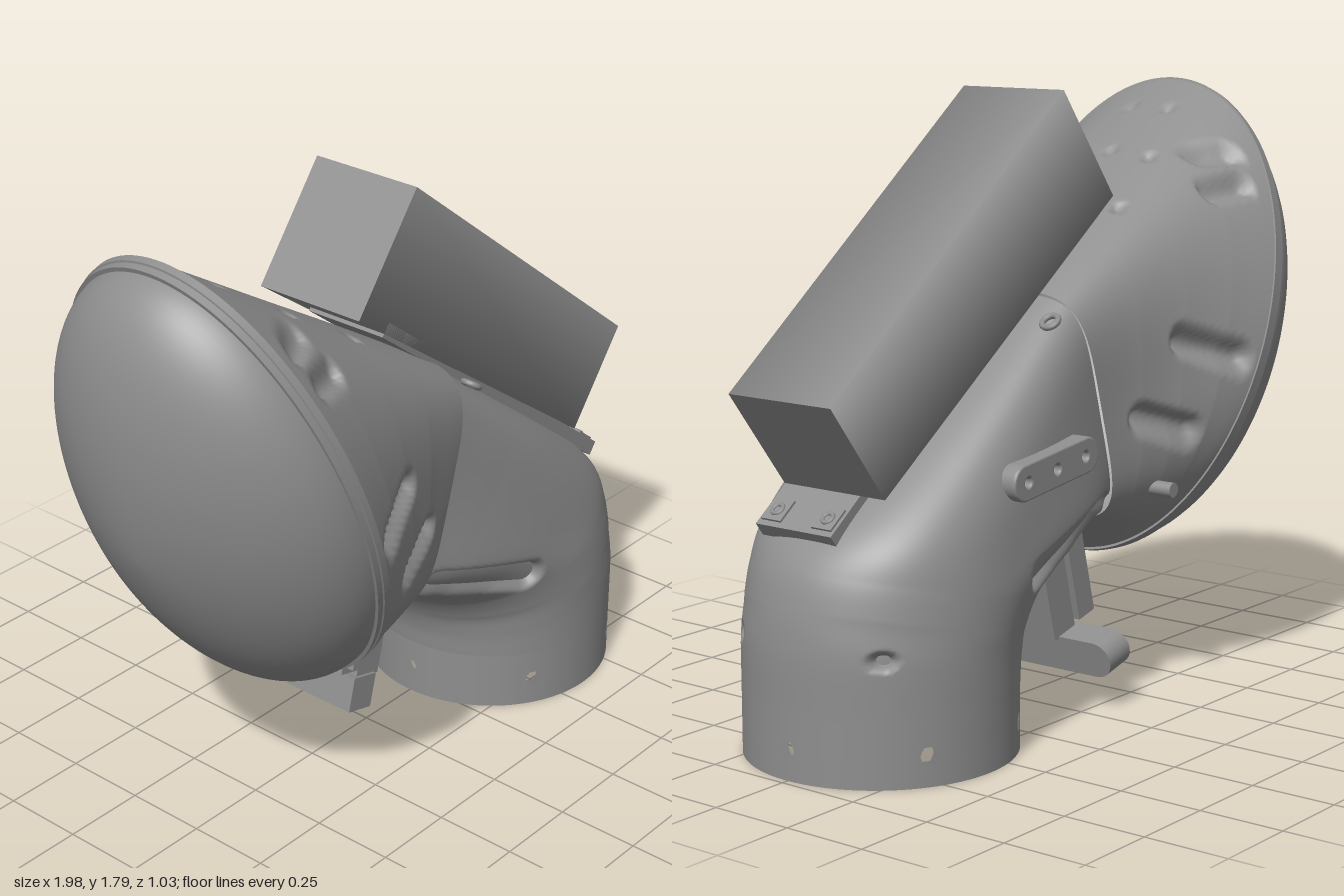
import * as THREE from 'three';
import { toCreasedNormals } from 'three/addons/utils/BufferGeometryUtils.js';

const N = 192; // columns around every lofted section
const material = new THREE.MeshStandardMaterial({ color: 0x8e8e8e, side: THREE.DoubleSide });
const V = (x, y, z = 0) => new THREE.Vector3(x, y, z);

// Closed superellipse from top point T to bottom point B, half width w, exponent n
function section(T, B, w, n) {
  const row = [];
  for (let j = 0; j < N; j++) {
    const a = (j / N) * Math.PI * 2, c = Math.cos(a), s = Math.sin(a);
    const r = Math.pow(Math.abs(c) ** n + Math.abs(s) ** n, -1 / n);
    const p = T.clone().add(B).multiplyScalar(0.5);
    p.addScaledVector(T.clone().sub(B), (c * r) / 2);
    p.z = w * s * r;
    row.push(p);
  }
  return row;
}

// Smoothly interpolated sections through keys [Tx, Ty, Bx, By, halfWidth, exponent]
function sweep(keys, count) {
  const top = new THREE.CatmullRomCurve3(keys.map(k => V(k[0], k[1])));
  const bottom = new THREE.CatmullRomCurve3(keys.map(k => V(k[2], k[3])));
  const size = new THREE.CatmullRomCurve3(keys.map(k => V(k[4], k[5])));
  return Array.from({ length: count + 1 }, (_, i) => {
    const t = i / count, s = size.getPoint(t);
    return section(top.getPoint(t), bottom.getPoint(t), s.x, s.y);
  });
}

function loft(rows, skip = () => false) {
  const index = [];
  for (let i = 0; i < rows.length - 1; i++)
    for (let j = 0; j < N; j++) {
      if (skip(i, j)) continue;
      const a = i * N + j, b = i * N + ((j + 1) % N);
      index.push(a, a + N, b, b, a + N, b + N);
    }
  const g = new THREE.BufferGeometry().setFromPoints(rows.flat());
  g.setIndex(index);
  g.computeVertexNormals();
  return g;
}

// Capsule-shaped pockets [x1, v1, x2, v2, radius, depth], pushed towards the section's centre;
// v is y on the sides, z on the top
function dent(rows, pockets, top = false) {
  const smooth = THREE.MathUtils.smoothstep;
  for (const row of rows) {
    const centre = row[0].clone().add(row[N / 2]).multiplyScalar(0.5);
    for (const p of row) {
      const mask = top ? Number(p.y > centre.y) : smooth(Math.abs(p.z), 0.18, 0.27);
      let push = 0;
      for (const [x1, v1, x2, v2, r, depth] of pockets) {
        const v = top ? Math.abs(p.z) : p.y, dx = x2 - x1, dv = v2 - v1;
        const t = THREE.MathUtils.clamp(((p.x - x1) * dx + (v - v1) * dv) / (dx * dx + dv * dv), 0, 1);
        const d = Math.hypot(p.x - x1 - t * dx, v - v1 - t * dv);
        push = Math.max(push, mask * depth * (1 - smooth(d, r * 0.3, r * 1.35)));
      }
      p.addScaledVector(centre.clone().sub(p).normalize(), push);
    }
  }
  return rows;
}

export function createModel() {
  const model = new THREE.Group();
  const add = (name, geometry, parent = model) => {
    const m = new THREE.Mesh(geometry, material);
    m.name = name;
    parent.add(m);
    return m;
  };
  const box = (name, w, h, d, x, y, z, parent) => {
    const m = add(name, new THREE.BoxGeometry(w, h, d), parent);
    m.position.set(x, y, z);
    return m;
  };

  // Base ring with six through holes
  const cx = 0.595, R = 0.385, inR = 0.355;
  const levels = [0, 0.062, 0.086, 0.11, 0.18];
  const ring = r => levels.map((y, i) => section(V(cx + r, y), V(cx - r, y), r, 2).map((p, j) => {
    const k = (j + 2) % 32; // columns 0 and 4 hold the hole's corners
    if ((i === 1 || i === 3) && (k === 0 || k === 4)) {
      const a = ((j + (k ? -0.4 : 0.4)) / N) * Math.PI * 2;
      p.set(cx + r * Math.cos(a), y + (i === 1 ? 0.01 : -0.01), r * Math.sin(a));
    }
    return p;
  }));
  const hole = (i, j) => (i === 1 || i === 2) && (j + 2) % 32 < 4;
  add('baseRing', loft(ring(R), hole));
  add('baseRingInside', loft(ring(inR), hole));
  const lip = add('baseLip', new THREE.RingGeometry(inR, R, 96));
  lip.rotation.x = Math.PI / 2;
  lip.position.x = cx;

  // Hollow elbow, round at the base and boxy at the neck
  const elbowKeys = [
    [0.98, 0.18, 0.21, 0.18, 0.385, 2],
    [0.98, 0.36, 0.2, 0.25, 0.385, 2],
    [0.965, 0.47, 0.175, 0.32, 0.385, 2],
    [0.933, 0.565, 0.13, 0.39, 0.383, 2.1],
    [0.865, 0.65, 0.07, 0.45, 0.375, 2.5],
    [0.6, 0.85, 0.01, 0.5, 0.358, 3.5],
    [0.34, 1.04, -0.05, 0.53, 0.335, 4.4],
    [0.09, 1.225, -0.1, 0.55, 0.308, 5],
  ];
  const elbowPockets = [[-0.04, 0.6, 0.33, 0.495, 0.045, 0.05], [0.88, 0.35, 0.885, 0.35, 0.022, 0.045]];
  add('elbow', loft(dent(sweep(elbowKeys, 100), elbowPockets)));
  const innerKeys = elbowKeys.map(([a, b, c, d, w, n]) => {
    const k = 0.04;
    return [a + (c - a) * k, b + (d - b) * k, c + (a - c) * k, d + (b - d) * k, w - 0.03, n];
  });
  add('elbowInside', loft(sweep(innerKeys, 32)));

  // Flared head shell from the neck to the oval rim
  const headKeys = [
    [0.095, 1.235, -0.105, 0.545, 0.316, 4.6],
    [-0.13, 1.375, -0.157, 0.508, 0.358, 3.4],
    [-0.355, 1.512, -0.208, 0.472, 0.405, 2.7],
    [-0.58, 1.65, -0.259, 0.436, 0.46, 2.25],
    [-0.8, 1.785, -0.31, 0.4, 0.512, 2],
  ];
  const head = sweep(headKeys, 96);
  dent(head, [
    [-0.46, 1.005, -0.29, 1.07, 0.042, 0.04],
    [-0.3, 0.8, -0.15, 0.855, 0.042, 0.04],
    [-0.65, 1.585, -0.56, 1.585, 0.03, 0.035],
    [-0.62, 1.495, -0.52, 1.48, 0.03, 0.035],
  ]);
  dent(head, [[-0.68, 0.07], [-0.48, 0], [-0.48, 0.14], [-0.27, 0], [-0.27, 0.18]]
    .map(([x, z]) => [x - 0.005, z, x + 0.005, z, 0.017, 0.02]), true);
  add('headShell', loft(head));

  // Rim band and domed cover, both stacked along the rim's normal
  const rimT = V(-0.8, 1.785), rimB = V(-0.31, 0.4), out = V(-0.943, -0.333);
  const rimC = rimT.clone().add(rimB).multiplyScalar(0.5);
  const oval = (offset, scale) => {
    const at = p => p.clone().sub(rimC).multiplyScalar(scale).add(rimC).addScaledVector(out, offset);
    return section(at(rimT), at(rimB), 0.512 * scale, 2);
  };
  add('rimBand', toCreasedNormals(loft(
    [oval(0, 0.985), oval(0, 1.01), oval(0.022, 1.01), oval(0.024, 1.002), oval(0.045, 1.002), oval(0.045, 0.96)]), 0.6));
  const dome = [];
  for (let i = 0; i <= 28; i++) {
    const a = (i / 28) * Math.PI / 2;
    dome.push(oval(0.03 + 0.37 * Math.sin(a), Math.max(0.985 * Math.cos(a) ** 1.18, 0.001)));
  }
  add('domeCover', loft(dome));

  // Long four-sided housing: a prism shaded smoothly around its long edges, fitted to its end corners
  const prism = new THREE.CylinderGeometry(1, 1, 2, 4, 1, false, Math.PI / 4);
  const spots = prism.attributes.position.clone();
  prism.rotateZ(-2.226);
  const low = [V(0.99, 1.03), V(0.78, 0.755)], high = [V(0, 1.795), V(-0.24, 1.48)];
  for (let i = 0; i < spots.count; i++) {
    const [top, bottom] = spots.getY(i) > 0 ? low : high;
    const p = top.clone().lerp(bottom, 0.5 + spots.getX(i) / Math.SQRT2);
    prism.attributes.position.setXYZ(i, p.x, p.y, spots.getZ(i) * 0.18 * Math.SQRT2);
  }
  add('housing', prism);

  // Mounting plate under the housing, with two bolts on its tab
  const deck = new THREE.Group();
  deck.name = 'mountingPlate';
  deck.position.set(0.377, 1.03, 0);
  deck.rotation.z = -0.651;
  model.add(deck);
  box('plate', 1.27, 0.045, 0.27, 0, 0, 0.045, deck);
  for (const z of [-0.045, 0.135]) {
    box('tabPad', 0.075, 0.008, 0.07, 0.58, 0.025, z, deck);
    const bolt = add('tabBolt', new THREE.TorusGeometry(0.016, 0.006, 8, 20), deck);
    bolt.rotation.x = Math.PI / 2;
    bolt.position.set(0.58, 0.029, z);
  }

  // Bolts in the two ears beside the housing
  for (const z of [-0.255, 0.255]) {
    const bolt = add('earBolt', new THREE.TorusGeometry(0.024, 0.009, 8, 24));
    bolt.rotation.set(-Math.PI / 2, 0.64, 0);
    bolt.position.set(0.16, 1.165, z);
  }

  // Capsule bracket with three holes on the back of the elbow
  const capsule = new THREE.Shape();
  capsule.absarc(0.14, 0, 0.046, -Math.PI / 2, Math.PI / 2);
  capsule.absarc(-0.14, 0, 0.046, Math.PI / 2, Math.PI * 1.5);
  for (const x of [-0.13, 0, 0.13]) capsule.holes.push(new THREE.Path().absarc(x, 0, 0.02, 0, Math.PI * 2, true));
  const bracket = add('backBracket', new THREE.ExtrudeGeometry(capsule, {
    depth: 0.06, bevelThickness: 0.008, bevelSize: 0.006, bevelSegments: 3, curveSegments: 24,
  }));
  bracket.position.set(0.295, 0.785, -0.377);
  bracket.rotation.z = -0.12;

  // Small knob on the back of the head
  const knob = add('knob', new THREE.CylinderGeometry(0.022, 0.022, 0.08, 20));
  knob.rotation.x = Math.PI / 2;
  knob.position.set(-0.23, 0.64, -0.37);

  // Clasp hanging below the neck
  const clasp = new THREE.Group();
  clasp.name = 'clasp';
  clasp.position.set(-0.055, 0.37, -0.03);
  clasp.rotation.z = -0.25;
  model.add(clasp);
  box('claspFrontPlate', 0.075, 0.27, 0.22, -0.048, 0, -0.03, clasp);
  box('claspBackPlate', 0.1, 0.32, 0.2, 0.04, 0, -0.02, clasp);
  for (const y of [-0.085, 0.085]) {
    box('claspPad', 0.035, 0.06, 0.03, -0.05, y, 0.09, clasp);
    const screw = add('claspScrew', new THREE.CylinderGeometry(0.02, 0.02, 0.02, 16), clasp);
    screw.rotation.z = Math.PI / 2;
    screw.position.set(-0.09, y, -0.07);
  }
  box('claspArm', 0.1, 0.11, 0.33, 0.02, -0.21, -0.075, clasp);
  const armEnd = add('claspArmEnd', new THREE.CylinderGeometry(0.055, 0.055, 0.1, 24), clasp);
  armEnd.rotation.z = Math.PI / 2;
  armEnd.position.set(0.02, -0.21, -0.24);
  const lever = box('claspLever', 0.025, 0.2, 0.08, -0.16, 0.41, -0.03);
  lever.rotation.z = 0.35;

  return model;
}
